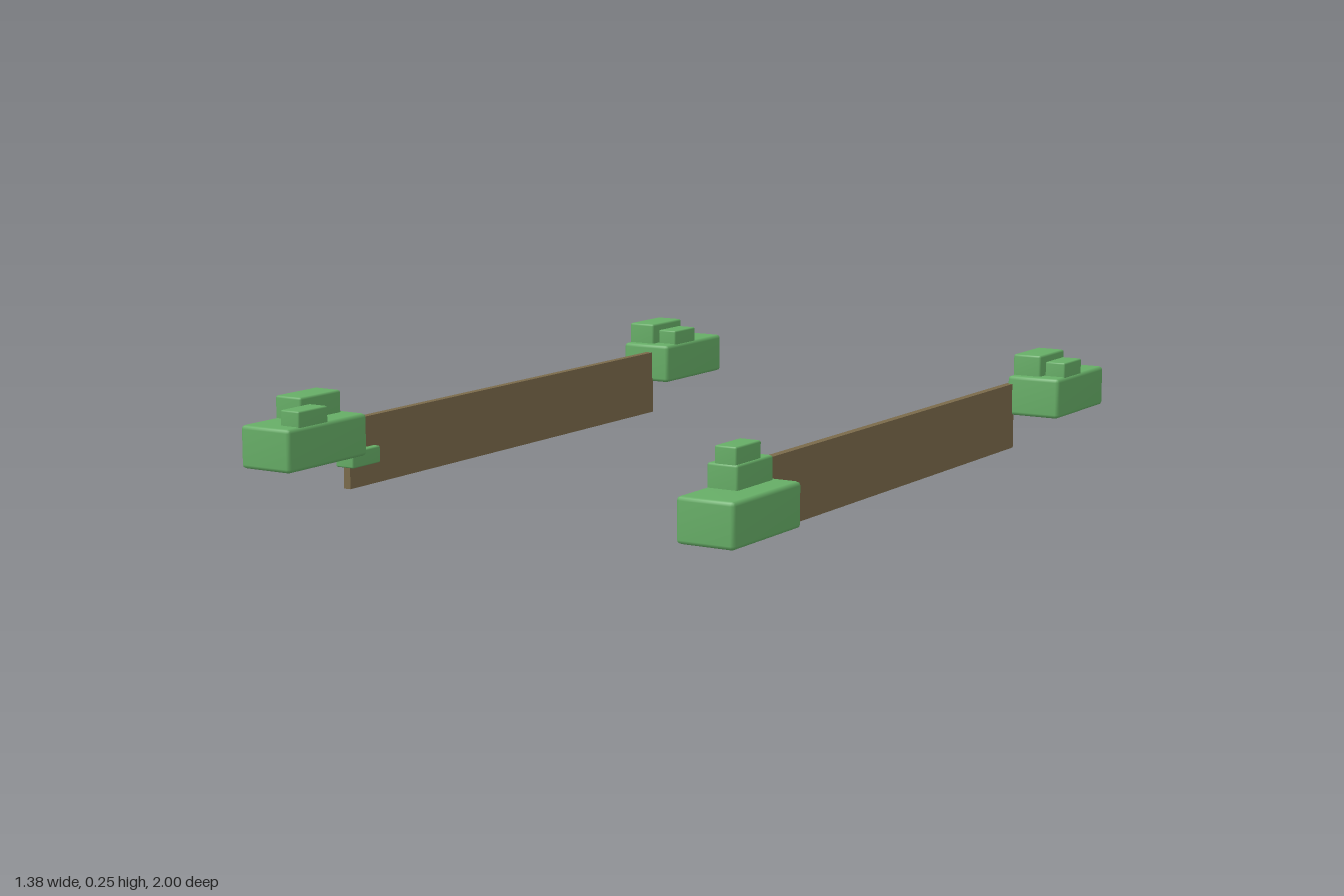
import * as THREE from 'three';
import { mergeVertices } from 'three/addons/utils/BufferGeometryUtils.js';
import { RoundedBoxGeometry } from 'three/addons/geometries/RoundedBoxGeometry.js';

const leafGreen = new THREE.MeshStandardMaterial({ color: 0x66ad66 });
leafGreen.name = 'leafGreen';
const woodBrown = new THREE.MeshStandardMaterial({ color: 0x7a6a4a });
woodBrown.name = 'woodBrown';

// Places a geometry so that it fills the given x, y and z ranges
function place(name, geometry, material, [x0, x1], [y0, y1], [z0, z1]) {
  const mesh = new THREE.Mesh(geometry, material);
  mesh.name = name;
  mesh.position.set((x0 + x1) / 2, (y0 + y1) / 2, (z0 + z1) / 2);
  return mesh;
}

// Chamfered block with shared, softly blended normals
function block(name, x, y, z) {
  const size = [x, y, z].map(([a, b]) => b - a);
  let geometry = new RoundedBoxGeometry(...size, 1, Math.min(...size) * 0.09);
  geometry.deleteAttribute('normal');
  geometry.deleteAttribute('uv');
  geometry = mergeVertices(geometry, 1e-4);
  geometry.computeVertexNormals();
  return place(name, geometry, leafGreen, x, y, z);
}

// Plain upright plank
function board(name, x, y, z) {
  const size = [x, y, z].map(([a, b]) => b - a);
  return place(name, new THREE.BoxGeometry(...size), woodBrown, x, y, z);
}

function clump(name, ...blocks) {
  const group = new THREE.Group();
  group.name = name;
  group.add(...blocks);
  return group;
}

export function createModel() {
  const model = new THREE.Group();
  model.name = 'gardenEdging';

  // Two long planks
  model.add(
    board('rightBoard', [-0.618, -0.598], [0, 0.175], [-0.705, 0.7]),
    board('leftBoard', [0.535, 0.555], [0, 0.175], [-0.71, 0.695]),
  );

  // Matching bushes at the back ends
  for (const [name, x] of [['backRightBush', -0.695], ['backLeftBush', 0.54]]) {
    model.add(clump(name,
      block('bushBase', [x, x + 0.15], [0.09, 0.197], [-1, -0.7]),
      block('bushTop', [x + 0.005, x + 0.085], [0.19, 0.253], [-0.88, -0.725]),
      block('bushSide', [x + 0.088, x + 0.145], [0.19, 0.235], [-0.86, -0.75]),
    ));
  }

  // Front bush with a small sprig below the base
  model.add(clump('frontRightBush',
    block('bushBase', [-0.695, -0.545], [0.09, 0.197], [0.695, 0.995]),
    block('bushTop', [-0.69, -0.61], [0.19, 0.253], [0.715, 0.87]),
    block('bushSide', [-0.607, -0.55], [0.19, 0.235], [0.84, 0.95]),
    block('bushSprig', [-0.635, -0.58], [0.055, 0.098], [0.6, 0.71]),
  ));

  // Stepped, lower front bush
  model.add(clump('frontLeftBush',
    block('bushBase', [0.54, 0.69], [0.04, 0.148], [0.69, 0.988]),
    block('bushMiddle', [0.547, 0.627], [0.142, 0.205], [0.71, 0.868]),
    block('bushTop', [0.565, 0.622], [0.198, 0.245], [0.755, 0.865]),
  ));

  return model;
}
